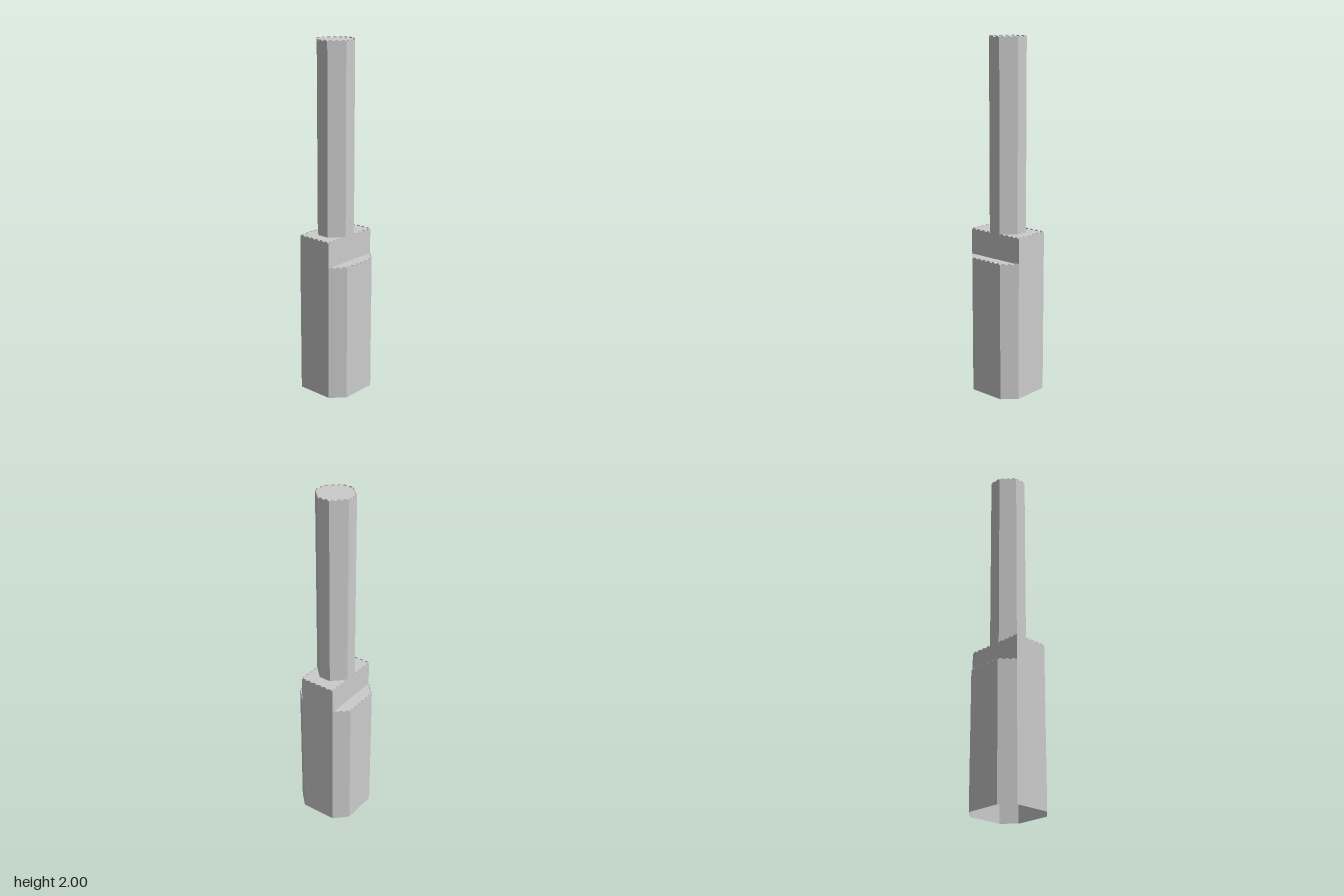
import * as THREE from 'three';
import { mergeGeometries } from 'three/addons/utils/BufferGeometryUtils.js';

const material = new THREE.MeshStandardMaterial({
  color: 0xcccccc, flatShading: true, side: THREE.DoubleSide,
});

const WIDE = 0.177, NARROW = 0.105, CHAMFER = 0.035;
const LEDGE_Y = 0.782, SHOULDER_Y = 0.926, TOP_Y = 1.994;
const MERLON = 0.006;

// Square of half-width h with cut corners, as [x, z], starting on the front edge
const octagon = (h, c) => [
  [-c, h], [c, h], [h, c], [h, -c], [c, -h], [-c, -h], [-h, -c], [-h, c],
];
const edgesOf = (pts) => pts.map((p, i) => [p, pts[(i + 1) % pts.length]]);
const turn = (pts) => pts.map(([x, z]) => [-x, -z]);

function mesh(name, geometries) {
  const m = new THREE.Mesh(mergeGeometries(geometries), material);
  m.name = name;
  return m;
}

// Place a geometry along an edge, with its +z facing outwards
function alongEdge(geometry, [a, b], t, y) {
  const dx = b[0] - a[0], dz = b[1] - a[1];
  return geometry
    .rotateY(Math.atan2(-dz, dx))
    .translate(a[0] + dx * t, y, a[1] + dz * t);
}
const edgeLength = ([a, b]) => Math.hypot(b[0] - a[0], b[1] - a[1]);

// Upright panels, one per edge
const walls = (edges, y0, y1) => edges.map((e) =>
  alongEdge(new THREE.PlaneGeometry(edgeLength(e), y1 - y0), e, 0.5, (y0 + y1) / 2));

// Small teeth standing along the rim of a roof
function teeth(edges, y) {
  const out = [];
  for (const e of edges) {
    const n = Math.max(2, Math.round(edgeLength(e) / 0.035));
    for (let i = 0; i < n; i++) {
      const box = new THREE.BoxGeometry(0.018, MERLON, 0.004).translate(0, 0, -0.002);
      out.push(alongEdge(box, e, (i + 0.5) / n, y + MERLON / 2));
    }
  }
  return out;
}

// Flat roof from an [x, z] outline
const roof = (pts, y) =>
  new THREE.ShapeGeometry(new THREE.Shape(pts.map(([x, z]) => new THREE.Vector2(x, -z))))
    .rotateX(-Math.PI / 2).translate(0, y, 0);

export function createModel() {
  const model = new THREE.Group();
  model.name = 'tower';

  // Base: chamfered block, open underneath
  const baseEdges = edgesOf(octagon(WIDE, NARROW));
  model.add(mesh('baseWalls', walls(baseEdges, 0, LEDGE_Y)));

  // Ledges on both sides of the shoulder block
  const ledge = [[NARROW, WIDE], [WIDE, NARROW], [WIDE, -NARROW], [NARROW, -WIDE]];
  model.add(mesh('sideLedges', [roof(ledge, LEDGE_Y), roof(turn(ledge), LEDGE_Y)]));
  model.add(mesh('ledgeTeeth',
    teeth(baseEdges.filter((_, i) => i % 4 !== 0), LEDGE_Y)));

  // Shoulder block: narrow in x, full depth in z
  const block = [[-NARROW, WIDE], [NARROW, WIDE], [NARROW, -WIDE], [-NARROW, -WIDE]];
  model.add(mesh('shoulderWalls', walls(edgesOf(block), LEDGE_Y, SHOULDER_Y)));

  // Shoulder roofs in front of and behind the shaft
  const frontRoof = [
    [-NARROW, WIDE], [NARROW, WIDE], [NARROW, CHAMFER],
    [CHAMFER, NARROW], [-CHAMFER, NARROW], [-NARROW, CHAMFER],
  ];
  model.add(mesh('shoulderRoofs', [roof(frontRoof, SHOULDER_Y), roof(turn(frontRoof), SHOULDER_Y)]));
  const frontRim = [0, 1, 5].map((i) => edgesOf(frontRoof)[i]);
  const backRim = frontRim.map(turn);
  model.add(mesh('shoulderTeeth', teeth([...frontRim, ...backRim], SHOULDER_Y)));

  // Tall shaft
  const shaft = octagon(NARROW, CHAMFER);
  const shaftEdges = edgesOf(shaft);
  model.add(mesh('shaftWalls', walls(shaftEdges, SHOULDER_Y, TOP_Y)));
  model.add(mesh('shaftRoof', [roof(shaft, TOP_Y)]));
  model.add(mesh('shaftTeeth', teeth(shaftEdges, TOP_Y)));

  return model;
}
